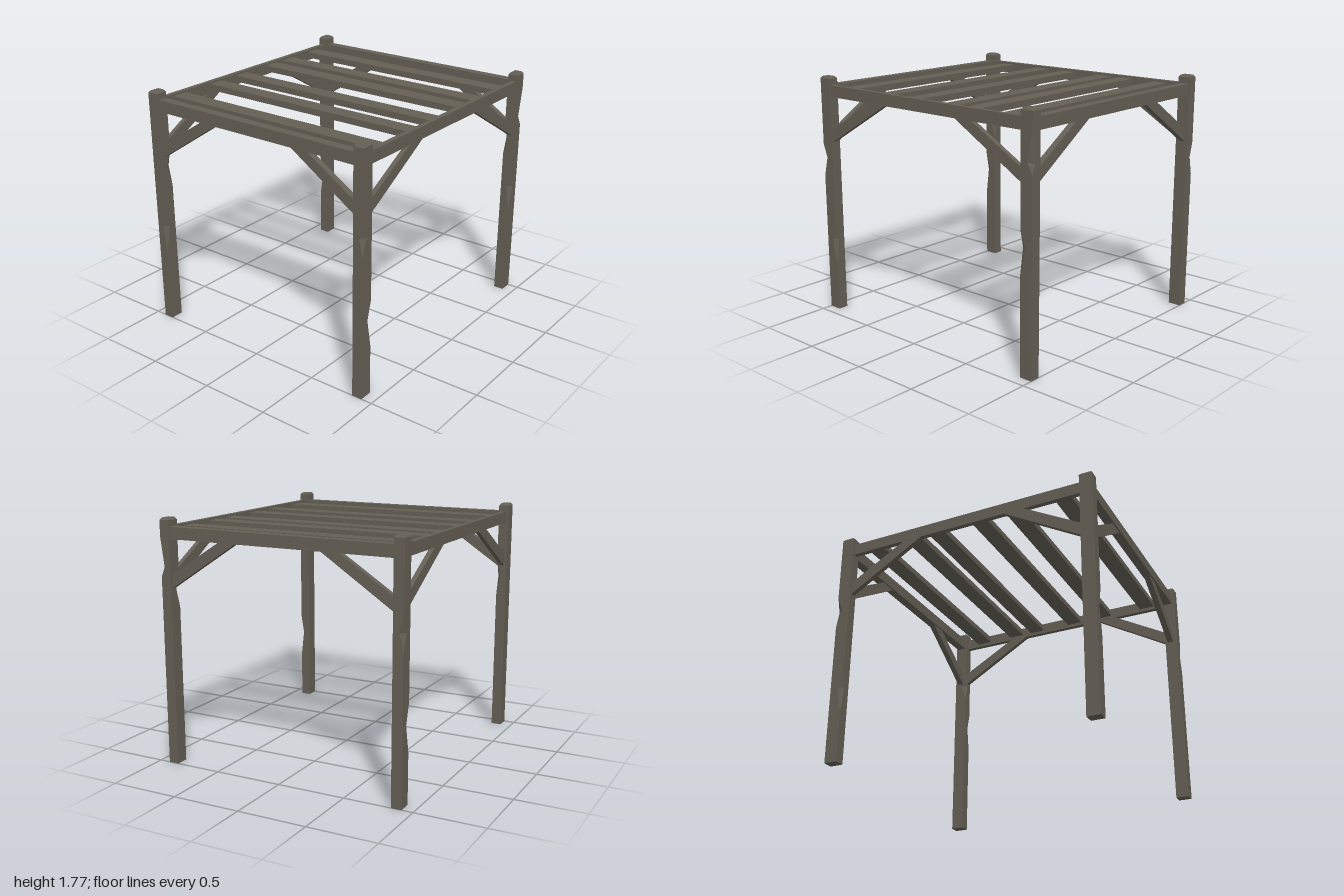
import * as THREE from 'three';

const wood = new THREE.MeshStandardMaterial({ color: 0x645f54 });
wood.name = 'weatheredWood';

function add(group, name, geometry) {
  const mesh = new THREE.Mesh(geometry, wood);
  mesh.name = name;
  group.add(mesh);
  return mesh;
}

// Box given by its lower and upper limits on each axis
function beam(group, name, [x0, x1], [y0, y1], [z0, z1]) {
  const mesh = add(group, name, new THREE.BoxGeometry(x1 - x0, y1 - y0, z1 - z0));
  mesh.position.set((x0 + x1) / 2, (y0 + y1) / 2, (z0 + z1) / 2);
}

// Square post with wedge notches chipped out of its edges and a bevelled top.
// Each notch: [corner, bottom, deepest point, top]; corners run -x+z, +x+z, +x-z, -x-z
const HALF_X = 0.0375, HALF_Z = 0.0475;
const CORNERS = [[-1, 1], [1, 1], [1, -1], [-1, -1]];

function postGeometry(notches) {
  const depth = (corner, y) => {
    let d = 0;
    for (const [c, low, mid, high] of notches) {
      if (c === corner && y > low && y < high) {
        d = y < mid ? (y - low) / (mid - low) : (high - y) / (high - mid);
      }
    }
    return d;
  };
  const ring = (y, inset = 0) => CORNERS.flatMap(([sx, sz], i) => {
    const d = depth(i, y);
    const x = HALF_X - inset, z = HALF_Z - inset;
    const movedX = new THREE.Vector3(sx * (x - 0.028 * d), y, sz * z);
    const movedZ = new THREE.Vector3(sx * x, y, sz * (z - 0.04 * d));
    return i % 2 ? [movedX, movedZ] : [movedZ, movedX];
  });
  const levels = [0, ...notches.flatMap((n) => n.slice(1)), 1.755].sort((a, b) => a - b);
  const rings = levels.map((y) => ring(y));
  rings.push(ring(1.77, 0.012));

  const points = [];
  const triangle = (a, b, c) => {
    const area = b.clone().sub(a).cross(c.clone().sub(a)).length();
    if (area > 1e-9) points.push(a, b, c);
  };
  for (let k = 0; k + 1 < rings.length; k++) {
    for (let i = 0; i < 8; i++) {
      const j = (i + 1) % 8;
      triangle(rings[k][i], rings[k][j], rings[k + 1][j]);
      triangle(rings[k][i], rings[k + 1][j], rings[k + 1][i]);
    }
  }
  const bottom = rings[0], top = rings[rings.length - 1];
  for (let i = 1; i < 7; i++) {
    triangle(top[0], top[i], top[i + 1]);
    triangle(bottom[0], bottom[i + 1], bottom[i]);
  }
  const geometry = new THREE.BufferGeometry().setFromPoints(points);
  geometry.computeVertexNormals();
  return geometry;
}

// Diagonal brace from a post (at distance `outer`) up to the underside of a beam
function braceGeometry(side, outer, low, high, innerLow, innerHigh, thickness) {
  const shape = new THREE.Shape([
    [outer, low], [innerLow, 1.63], [innerHigh, 1.63], [outer, high],
  ].map(([u, y]) => new THREE.Vector2(side * u, y)));
  return new THREE.ExtrudeGeometry(shape, { depth: thickness, bevelEnabled: false })
    .translate(0, 0, -thickness / 2);
}

export function createModel() {
  const model = new THREE.Group();
  model.name = 'pergola';

  // Corner posts
  const posts = [
    ['frontLeftPost', 1, 1, [[1, 1.03, 1.16, 1.27], [2, 0.36, 0.55, 0.7]]],
    ['backLeftPost', 1, -1, [[1, 0.7, 0.88, 1.0], [2, 1.36, 1.43, 1.64], [0, 1.14, 1.26, 1.4]]],
    ['frontRightPost', -1, 1, [[1, 0.55, 0.75, 0.9], [2, 1.05, 1.2, 1.33]]],
    ['backRightPost', -1, -1, [[3, 1.03, 1.16, 1.27], [0, 0.36, 0.55, 0.7]]],
  ];
  for (const [name, sx, sz, notches] of posts) {
    add(model, name, postGeometry(notches)).position.set(sx * 0.8825, 0, sz * 0.9525);
  }

  // Perimeter beams
  const beamY = [1.625, 1.71];
  beam(model, 'frontBeam', [-0.86, 0.86], beamY, [0.912, 0.978]);
  beam(model, 'backBeam', [-0.86, 0.86], beamY, [-0.988, -0.922]);
  beam(model, 'leftBeam', [0.872, 0.908], beamY, [-0.92, 0.92]);
  beam(model, 'rightBeam', [-0.9, -0.864], beamY, [-0.92, 0.92]);

  // Unevenly spaced roof slats
  for (const z of [-0.738, -0.425, -0.23, 0.117, 0.388, 0.76]) {
    beam(model, 'roofSlat', [-0.875, 0.875], [1.65, 1.695], [z - 0.06, z + 0.06]);
  }

  // Corner braces, two per post
  for (const a of [-1, 1]) {
    for (const b of [-1, 1]) {
      add(model, b > 0 ? 'frontBrace' : 'backBrace',
        braceGeometry(a, 0.85, 1.28, 1.375, 0.315, 0.45, 0.045))
        .position.z = b > 0 ? 0.945 : -0.955;
      add(model, b > 0 ? 'leftBrace' : 'rightBrace',
        braceGeometry(a, 0.91, 1.29, 1.385, 0.325, 0.475, 0.034).rotateY(-Math.PI / 2))
        .position.x = b > 0 ? 0.89 : -0.882;
    }
  }
  return model;
}
